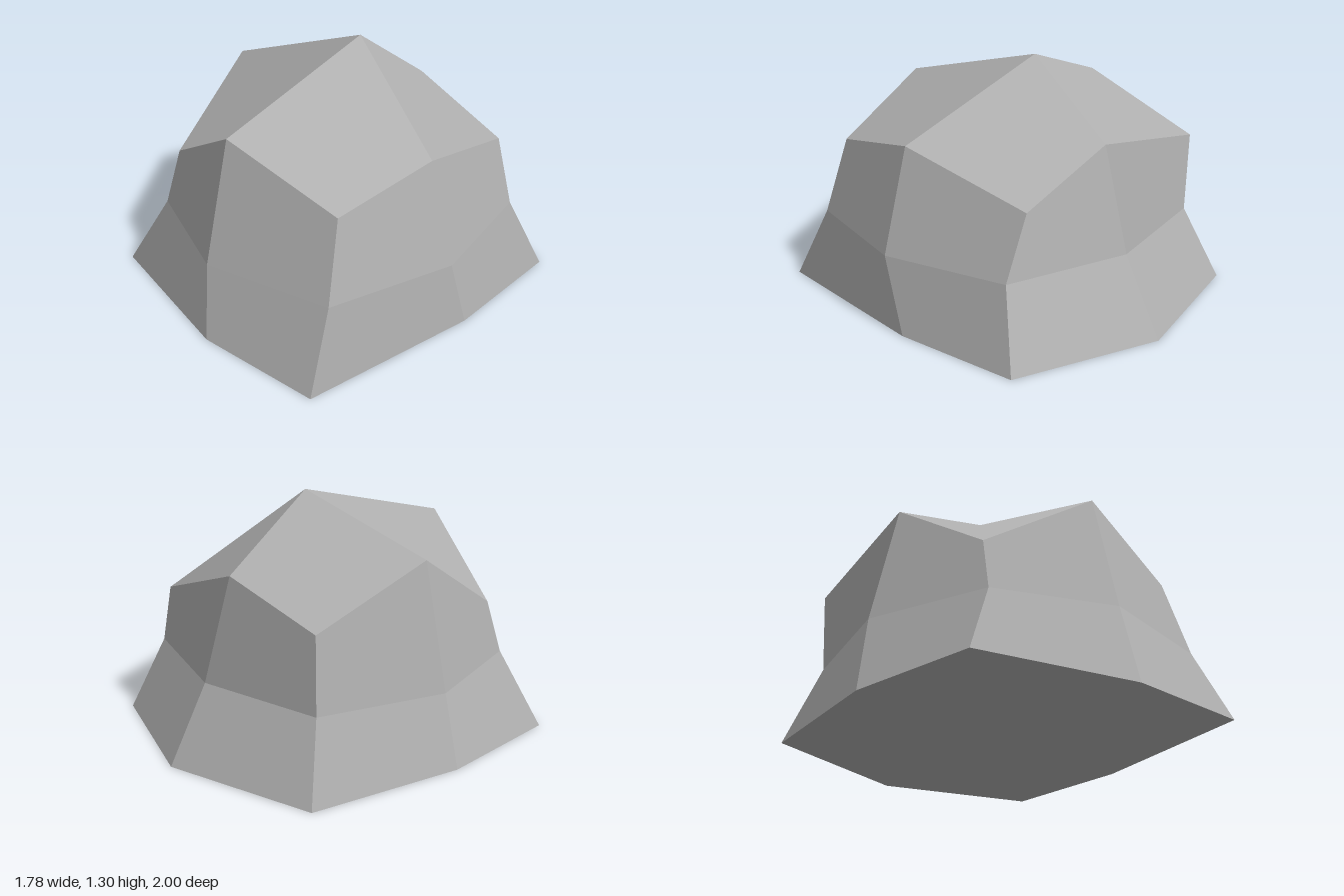
import * as THREE from 'three';

// Horizontal rings of the boulder. Each starts at the front right (-x, +z)
// corner and runs past the front: corner, middle, corner, middle ...
const RINGS = [
  [[-0.78, 0, 0.82], [0.08, 0, 1], [0.78, 0, 0.94], [0.89, 0, -0.05],
    [0.83, 0, -0.75], [0.04, 0, -1], [-0.79, 0, -0.75], [-0.89, 0, 0.1]],
  [[-0.58, 0.4, 0.7], [0.03, 0.4, 0.93], [0.71, 0.4, 0.75], [0.885, 0.4, 0.07],
    [0.71, 0.4, -0.6], [0.04, 0.4, -0.78], [-0.65, 0.4, -0.61], [-0.82, 0.4, 0.07]],
  [[-0.55, 0.69, 0.62], [0.03, 1.05, 0.77], [0.65, 0.82, 0.63], [0.73, 0.935, 0.07],
    [0.59, 0.735, -0.62], [0.03, 0.935, -0.62], [-0.66, 0.82, -0.62], [-0.66, 1.05, 0.07]],
];
const PEAK = [0.03, 1.305, -0.14];

// Collects four-cornered facets, each with one flat normal; the fold runs from a to c
function facetGeometry(facets) {
  const positions = [], normals = [];
  for (const [a, b, c, d] of facets) {
    const diagonal1 = new THREE.Vector3(...c).sub(new THREE.Vector3(...a));
    const diagonal2 = new THREE.Vector3(...d).sub(new THREE.Vector3(...b));
    const n = diagonal1.cross(diagonal2).normalize();
    for (const p of [a, b, c, a, c, d]) {
      positions.push(...p);
      normals.push(n.x, n.y, n.z);
    }
  }
  const geometry = new THREE.BufferGeometry();
  geometry.setAttribute('position', new THREE.Float32BufferAttribute(positions, 3));
  geometry.setAttribute('normal', new THREE.Float32BufferAttribute(normals, 3));
  return geometry;
}

export function createModel() {
  const stone = new THREE.MeshStandardMaterial({ color: 0xb0b0b0 });
  stone.name = 'stone grey';
  const [base, waist, shoulder] = RINGS;
  const facets = [];

  for (let i = 0; i < 8; i++) {
    const j = (i + 1) % 8;
    // Sides: folds fan out from the waist middles to the corners
    for (const [low, high] of [[base, waist], [waist, shoulder]]) {
      const foldFromLowI = (i % 2 === 0) === (low === base);
      facets.push(foldFromLowI
        ? [low[i], low[j], high[j], high[i]]
        : [low[j], high[j], high[i], low[i]]);
    }
  }

  // Crown and underside: one facet per corner
  const underCentre = [0, 0, 0];
  for (let i = 0; i < 8; i += 2) {
    const before = (i + 7) % 8, after = i + 1;
    facets.push([PEAK, shoulder[before], shoulder[i], shoulder[after]]);
    facets.push([underCentre, base[after], base[i], base[before]]);
  }

  const boulder = new THREE.Mesh(facetGeometry(facets), stone);
  boulder.name = 'boulder';
  const group = new THREE.Group();
  group.name = 'rock';
  group.add(boulder);
  return group;
}
